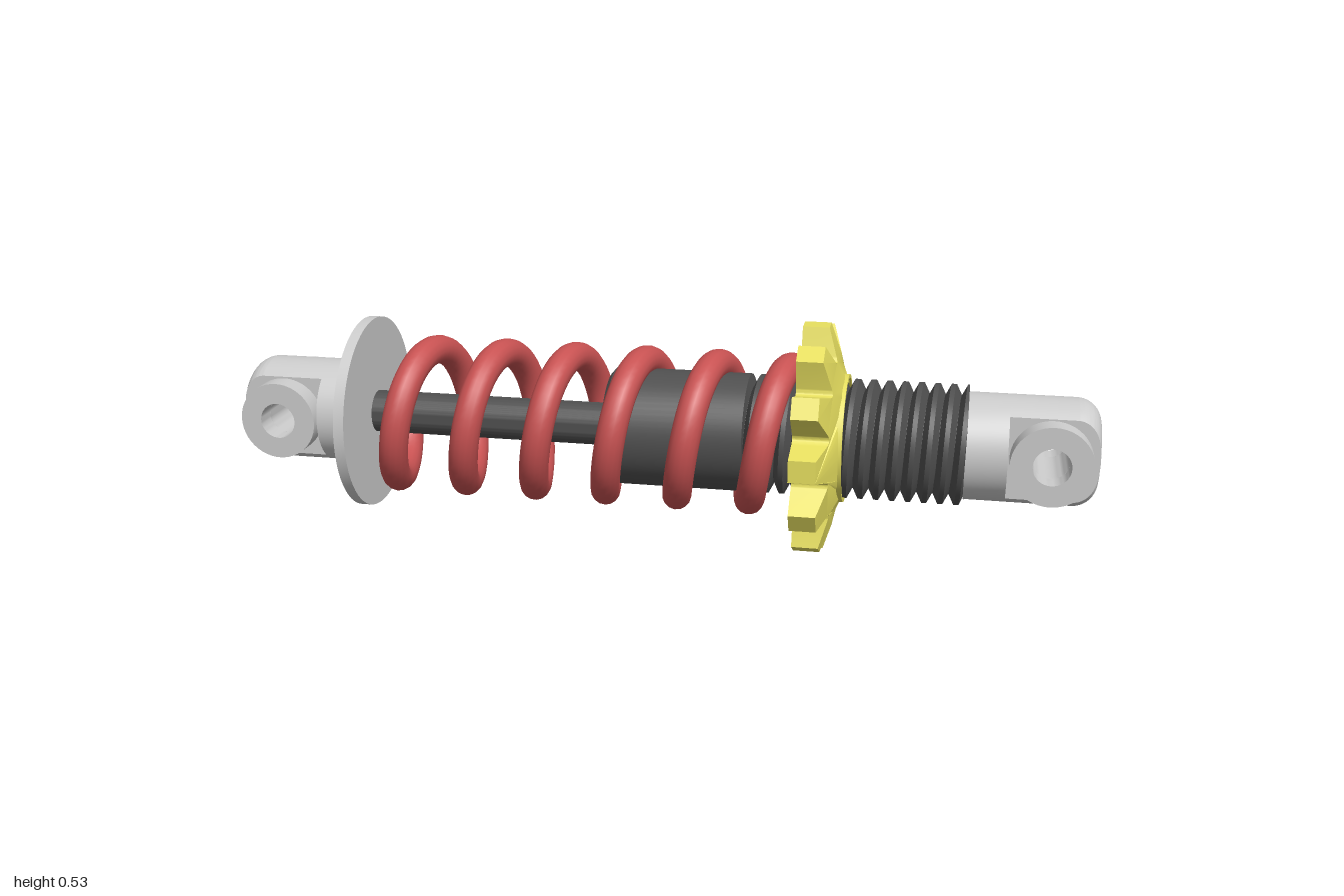
import * as THREE from 'three';
import { toCreasedNormals } from 'three/addons/utils/BufferGeometryUtils.js';

const AXIS_Y = 0.265;
const material = (color) => new THREE.MeshStandardMaterial({ color });
const grey = material(0xcccccc);
const dark = material(0x505050);
const red = material(0xc85252);
const yellow = material(0xe8e060);

function part(name, geometry, mat) {
  const mesh = new THREE.Mesh(geometry, mat);
  mesh.name = name;
  return mesh;
}

// Solid of revolution about the x axis from [x, radius] pairs, x ascending on the outside
function turned(points, segments = 64) {
  const profile = points.map(([x, r]) => new THREE.Vector2(r, x));
  const g = new THREE.LatheGeometry(profile, segments).rotateZ(-Math.PI / 2);
  return toCreasedNormals(g, 0.5);
}

const rod = (x0, x1, r) => turned([[x0, 0], [x0, r], [x1, r], [x1, 0]]);

// Coil spring: six turns about the x axis
class Helix extends THREE.Curve {
  getPoint(t, target = new THREE.Vector3()) {
    const a = -Math.PI + t * 12 * Math.PI;
    return target.set(-0.678 + 1.02 * t, 0.156 * Math.sin(a), 0.156 * Math.cos(a));
  }
}

function spring() {
  const group = new THREE.Group();
  group.name = 'spring';
  const path = new Helix();
  group.add(part('springCoil', new THREE.TubeGeometry(path, 300, 0.034, 16), red));
  for (const t of [0, 1]) {
    const cap = part('springEnd', new THREE.CircleGeometry(0.034, 16), red);
    cap.position.copy(path.getPoint(t));
    const outward = path.getTangent(t).multiplyScalar(t ? 1 : -1);
    cap.quaternion.setFromUnitVectors(new THREE.Vector3(0, 0, 1), outward);
    group.add(cap);
  }
  return group;
}

// Screw thread: a tapered ridge swept along a helix and trimmed at both ends
function thread(x0, x1, pitch) {
  const ridge = [[0, 0.112], [0.35, 0.137], [0.65, 0.137], [1, 0.112]];
  const perTurn = 48;
  const steps = Math.ceil(((x1 - x0) / pitch + 1) * perTurn);
  const positions = [];
  const index = [];
  for (let i = 0; i <= steps; i++) {
    const a = (i / perTurn) * Math.PI * 2;
    for (const [dx, r] of ridge) {
      const x = x0 + pitch * (i / perTurn - 1 + dx);
      positions.push(THREE.MathUtils.clamp(x, x0, x1), r * Math.sin(a), r * Math.cos(a));
    }
    if (i === steps) break;
    for (let j = 0; j < ridge.length - 1; j++) {
      const p = i * ridge.length + j;
      const q = p + ridge.length;
      index.push(p, p + 1, q, p + 1, q + 1, q);
    }
  }
  const g = new THREE.BufferGeometry();
  g.setAttribute('position', new THREE.Float32BufferAttribute(positions, 3));
  g.setIndex(index);
  return toCreasedNormals(g, 0.5);
}

// Twelve-toothed adjuster with a shallow conical outer face
function adjuster() {
  const teeth = 12;
  const shape = new THREE.Shape();
  const half = [[-0.042, 0.203], [-0.025, 0.264], [0.025, 0.264], [0.042, 0.203]];
  for (let i = 0; i < teeth; i++) {
    const a = (-i / teeth) * Math.PI * 2;
    const at = (x, y, turn = a) => [
      x * Math.cos(turn) - y * Math.sin(turn), x * Math.sin(turn) + y * Math.cos(turn)];
    half.forEach(([x, y], j) => {
      if (i === 0 && j === 0) shape.moveTo(...at(x, y));
      else shape.lineTo(...at(x, y));
    });
    // rounded gap to the next tooth
    const next = a - (Math.PI * 2) / teeth;
    shape.bezierCurveTo(...at(0.046, 0.189), ...at(-0.046, 0.189, next), ...at(...half[0], next));
  }
  const hole = new THREE.Path();
  hole.absarc(0, 0, 0.13, 0, Math.PI * 2, true);
  shape.holes.push(hole);

  const g = new THREE.ExtrudeGeometry(shape, { depth: 0.06, bevelEnabled: false, curveSegments: 12 });
  const pos = g.attributes.position;
  for (let i = 0; i < pos.count; i++) {
    const r = Math.hypot(pos.getX(i), pos.getY(i));
    if (pos.getZ(i) > 0.03) pos.setZ(i, 0.06 + Math.max(0, 0.265 - r) * 0.32);
  }
  g.rotateY(Math.PI / 2).translate(0.335, 0, 0);

  const group = new THREE.Group();
  group.name = 'springAdjuster';
  group.add(part('toothedRing', toCreasedNormals(g, 0.4), yellow));
  group.add(part('adjusterCollar',
    turned([[0.36, 0.13], [0.36, 0.147], [0.44, 0.147], [0.44, 0.139], [0.36, 0.13]]), yellow));
  return group;
}

// Mounting eye at the +x end: round neck, flattened rounded head, drilled bosses
function mount(name, neckStart) {
  const R = 0.122, round = 0.055, eyeX = 0.895, holeR = 0.042, flat = 0.077;
  const group = new THREE.Group();
  group.name = name;
  group.add(part('mountNeck', rod(neckStart, 0.8, R), grey));

  const shape = new THREE.Shape();
  shape.moveTo(0.8, -R);
  shape.lineTo(1 - round, -R);
  shape.absarc(1 - round, -R + round, round, -Math.PI / 2, 0, false);
  shape.lineTo(1, R - round);
  shape.absarc(1 - round, R - round, round, 0, Math.PI / 2, false);
  shape.lineTo(0.8, R);
  shape.closePath();
  const hole = new THREE.Path();
  hole.absarc(eyeX, 0, holeR, 0, Math.PI * 2, true);
  shape.holes.push(hole);
  const g = new THREE.ExtrudeGeometry(shape, {
    depth: flat * 2, steps: 12, bevelEnabled: false, curveSegments: 16 });
  g.translate(0, 0, -flat);
  // bend the outline onto a round section, leaving the hole straight
  const pos = g.attributes.position;
  for (let i = 0; i < pos.count; i++) {
    const x = pos.getX(i), y = pos.getY(i), z = pos.getZ(i);
    if (Math.hypot(x - eyeX, y) < holeR + 0.005) continue;
    pos.setY(i, Math.sign(y) * Math.sqrt(Math.max(0, y * y - z * z)));
  }
  group.add(part('mountHead', toCreasedNormals(g, 0.5), grey));

  for (const side of [-1, 1]) {
    const ring = [[-0.026, holeR], [-0.026, 0.091], [0.026, 0.091], [0.026, holeR], [-0.026, holeR]];
    const boss = part('mountBoss', turned(ring, 48).rotateY(Math.PI / 2), grey);
    boss.position.set(eyeX, 0, side * 0.102);
    group.add(boss);
  }
  return group;
}

export function createModel() {
  const model = new THREE.Group();
  model.name = 'shockAbsorber';
  const assembly = new THREE.Group();
  assembly.name = 'assembly';
  assembly.position.y = AXIS_Y;
  model.add(assembly);

  assembly.add(part('pistonRod', rod(-0.7, -0.1, 0.05), dark));
  assembly.add(part('damperBody',
    turned([[-0.11, 0], [-0.11, 0.125], [-0.1, 0.137], [0.215, 0.137], [0.215, 0]]), dark));
  assembly.add(part('threadCore', rod(0.2, 0.71, 0.1125), dark));
  assembly.add(part('bodyThread', thread(0.215, 0.71, 0.036), dark));
  assembly.add(part('springSeat', rod(-0.715, -0.69, 0.228), grey));
  assembly.add(spring(), adjuster(), mount('bodyMount', 0.708));

  const rodMount = mount('rodMount', 0.71);
  rodMount.rotation.y = Math.PI;
  assembly.add(rodMount);
  return model;
}
